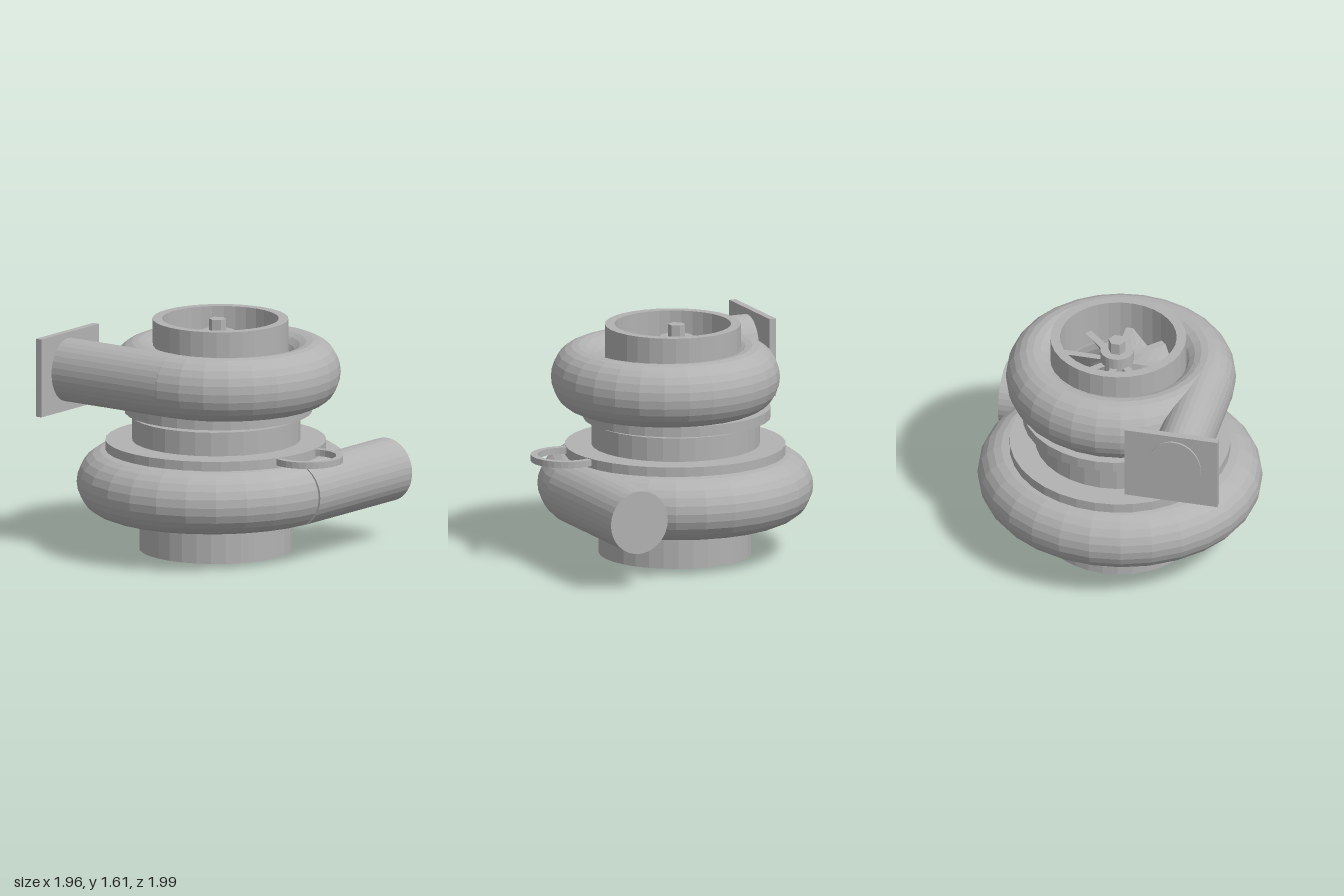
import * as THREE from 'three';

const metal = new THREE.MeshStandardMaterial({ color: 0xb2b2b2 });

// Faceted normals for the low-poly look
function facet(geometry) {
  const g = geometry.index ? geometry.toNonIndexed() : geometry;
  g.computeVertexNormals();
  return g;
}

function part(parent, name, geometry, x = 0, y = 0, z = 0) {
  const mesh = new THREE.Mesh(facet(geometry), metal);
  mesh.name = name;
  mesh.position.set(x, y, z);
  parent.add(mesh);
  return mesh;
}

// Hollow upright ring with a rectangular section
function ring(outer, inner, bottom, top, sides = 32) {
  const profile = [[outer, bottom], [outer, top], [inner, top], [inner, bottom], [outer, bottom]];
  return new THREE.LatheGeometry(profile.map(([r, y]) => new THREE.Vector2(r, y)), sides);
}

// Horizontal scroll housing with an oval section
function scroll(rx, rz, tubeR, tubeY) {
  const g = new THREE.TorusGeometry(rx, tubeR, 24, 28);
  g.rotateX(Math.PI / 2);
  g.scale(1, tubeY / tubeR, rz / rx);
  return g;
}

// Blade along +x: upright at the hub, its lower edge swept sideways at the tip
function blade(length, height, thick) {
  const g = new THREE.BoxGeometry(length, height, thick, 4, 3, 1);
  g.translate(length / 2, 0, 0);
  const p = g.attributes.position;
  for (let i = 0; i < p.count; i++) {
    const along = p.getX(i) / length;
    const down = 0.5 - p.getY(i) / height;
    p.setZ(i, p.getZ(i) + down * (0.02 + 0.16 * along));
  }
  return g;
}

// Bladed wheel with hub and hexagonal shaft nut; y = 0 is the blades' middle
function wheel(name, radius) {
  const group = new THREE.Group();
  group.name = name;
  part(group, 'hub', new THREE.CylinderGeometry(0.115, 0.115, 0.32, 24), 0, 0.04, 0);
  part(group, 'shaftNut', new THREE.CylinderGeometry(0.06, 0.06, 0.1, 6), 0, 0.235, 0).rotation.y = Math.PI / 6;
  for (let i = 0; i < 8; i++) {
    part(group, 'blade', blade(radius, 0.24, 0.05)).rotation.y = (i * Math.PI) / 4;
  }
  return group;
}

export function createModel() {
  const model = new THREE.Group();
  model.name = 'turbocharger';
  const axisZ = -0.055;

  // Lower housing: exhaust pipe, scroll and side duct
  part(model, 'exhaustPipe', ring(0.525, 0.462, 0, 0.48), 0, 0, axisZ);
  part(model, 'lowerScroll', scroll(0.76, 0.728, 0.219, 0.22), 0, 0.48, axisZ);
  const duct = new THREE.CylinderGeometry(0.215, 0.215, 1.04, 32);
  duct.rotateZ(Math.PI / 2);
  duct.scale(1, 0.22 / 0.215, 1);
  part(model, 'lowerDuct', duct, 0.46, 0.48, 0.675);

  // Middle: backing plate, bearing collar and lifting loop
  part(model, 'backingPlate', ring(0.757, 0.46, 0.695, 0.765, 36), 0, 0, axisZ);
  part(model, 'bearingCollar', ring(0.578, 0.46, 0.7, 0.93), 0.005, 0, axisZ);
  part(model, 'liftingLoop', ring(0.244, 0.197, 0.715, 0.76, 32), -0.028, 0, 0.756);

  // Upper housing: collar, scroll, inlet and outlet
  part(model, 'upperCollar', ring(0.643, 0.39, 0.957, 1.03), 0.027, 0, axisZ);
  part(model, 'upperScroll', scroll(0.602, 0.598, 0.187, 0.22), 0.012, 1.245, 0.025);
  part(model, 'inletRing', ring(0.466, 0.4, 1.3, 1.61), 0.018, 0, -0.028);
  const outlet = new THREE.CylinderGeometry(0.187, 0.187, 0.96, 32);
  outlet.rotateX(Math.PI / 2);
  outlet.scale(1, 0.22 / 0.187, 1);
  part(model, 'outletPipe', outlet, -0.588, 1.245, -0.46);
  part(model, 'outletFlange', new THREE.BoxGeometry(0.655, 0.545, 0.048), -0.562, 1.232, -0.903);

  // Wheels: one facing up in the inlet, one facing down in the exhaust
  const upper = wheel('upperWheel', 0.375);
  upper.position.set(0.02, 1.32, axisZ);
  const lower = wheel('lowerWheel', 0.375);
  lower.position.set(0.02, 0.35, axisZ);
  lower.rotation.x = Math.PI;
  model.add(upper, lower);

  return model;
}
